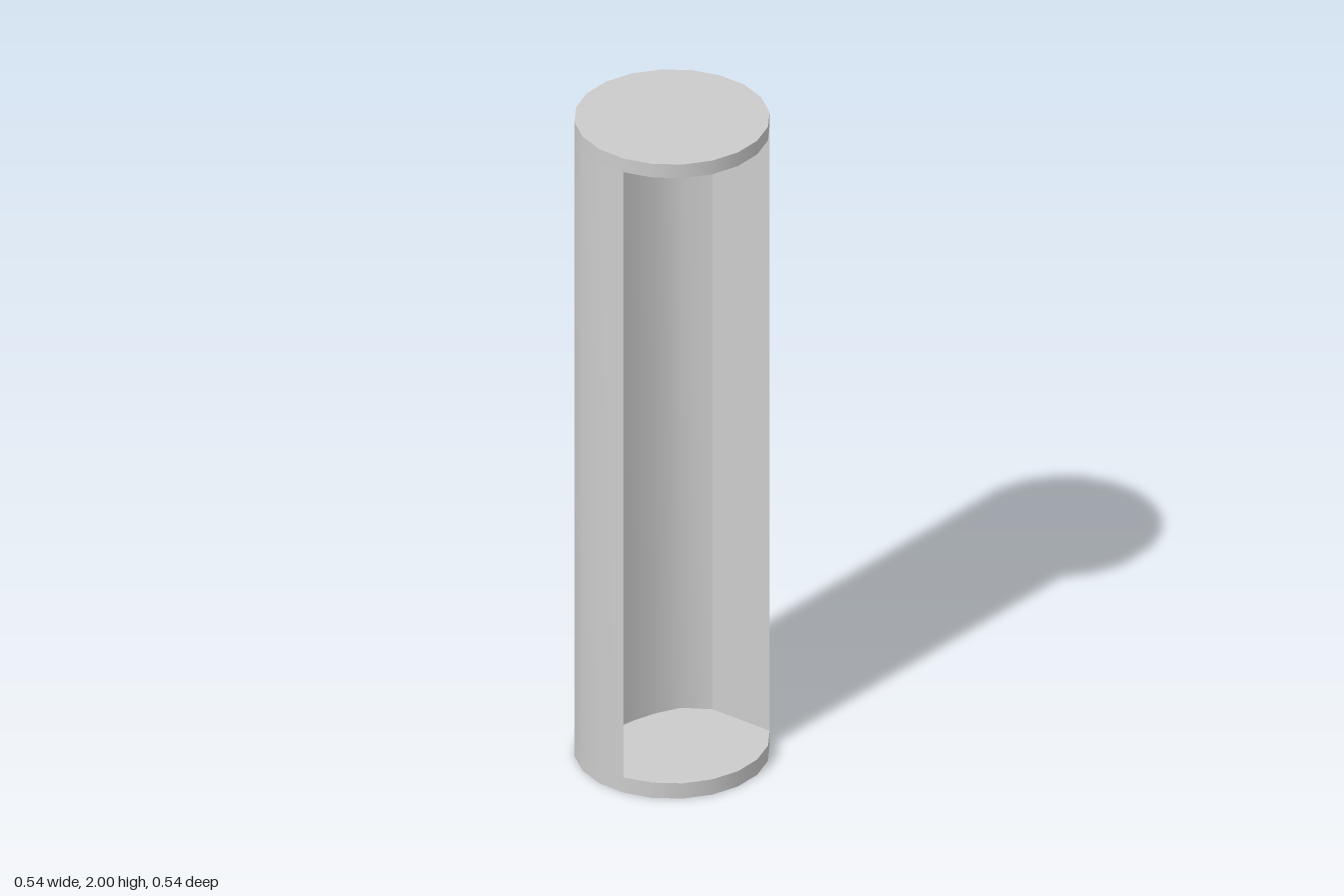
import * as THREE from 'three';
import { toCreasedNormals } from 'three/addons/utils/BufferGeometryUtils.js';

const RADIUS = 0.27, SIDES = 20, HEIGHT = 2;
const FLOOR = 0.048, CEILING = 1.957;

export function createModel() {
  const group = new THREE.Group();
  const material = new THREE.MeshStandardMaterial({ color: 0xcccccc });

  const add = (name, geometry, y) => {
    const mesh = new THREE.Mesh(geometry, material);
    mesh.name = name;
    mesh.position.y = y;
    group.add(mesh);
  };

  // End discs, closing the column at the bottom and top
  const disc = (name, y0, y1) =>
    add(name, new THREE.CylinderGeometry(RADIUS, RADIUS, y1 - y0, SIDES), (y0 + y1) / 2);
  disc('bottomCap', 0, FLOOR);
  disc('topCap', CEILING, HEIGHT);

  // Column wall: outer arc in plan (x, z), leaving seven sides open
  const plan = [];
  for (let i = 4; i <= 17; i++) {
    const a = (i / SIDES) * Math.PI * 2;
    plan.push([RADIUS * Math.cos(a), RADIUS * Math.sin(a)]);
  }
  // Back of the recess, from the rear edge round to the front edge
  plan.push([-0.036, -0.183], [-0.1, -0.125], [-0.125, -0.05], [-0.135, 0.02],
    [-0.135, 0.09], [-0.125, 0.165], [-0.086, 0.22]);

  const shape = new THREE.Shape(plan.map(([x, z]) => new THREE.Vector2(x, -z)));
  const wall = new THREE.ExtrudeGeometry(shape, { depth: CEILING - FLOOR, bevelEnabled: false });
  wall.rotateX(-Math.PI / 2);
  add('recessedWall', toCreasedNormals(wall, 0.53), FLOOR);

  return group;
}
